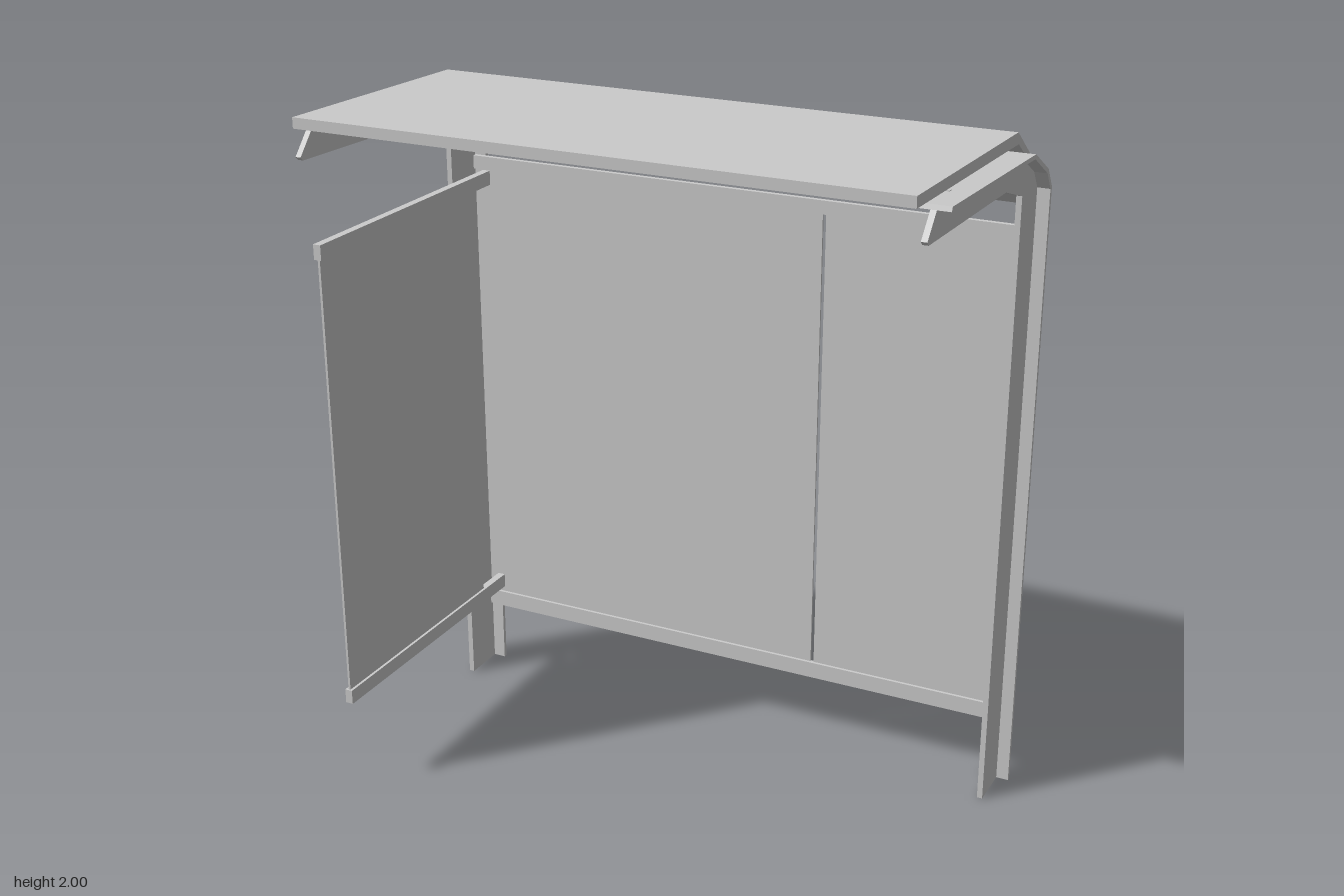
import * as THREE from 'three';

const material = new THREE.MeshStandardMaterial({ color: 0xcccccc, side: THREE.DoubleSide });

export function createModel() {
  const model = new THREE.Group();
  model.name = 'shelter';

  const add = (name, geometry) => {
    const mesh = new THREE.Mesh(geometry, material);
    mesh.name = name;
    model.add(mesh);
    return mesh;
  };

  // Box given by its limits on each axis
  const box = (name, [x0, x1], [y0, y1], [z0, z1]) =>
    add(name, new THREE.BoxGeometry(x1 - x0, y1 - y0, z1 - z0)
      .translate((x0 + x1) / 2, (y0 + y1) / 2, (z0 + z1) / 2));

  // Side profile of [z, y] points extruded along x around a centre
  const profile = (name, points, width, x = 0) => {
    const shape = new THREE.Shape(points.map(([z, y]) => new THREE.Vector2(z, y)));
    const geometry = new THREE.ExtrudeGeometry(shape, { depth: width, bevelEnabled: false });
    geometry.translate(0, 0, -width / 2).rotateY(-Math.PI / 2).translate(x, 0, 0);
    return add(name, geometry);
  };

  // T-section posts that bend forward into roof arms
  const outer = [[-0.356, 0], [-0.356, 1.81], [-0.314, 1.867], [-0.19, 1.934], [0.45, 1.958]];
  const inner = [[-0.344, 0], [-0.344, 1.806], [-0.306, 1.857], [-0.186, 1.922], [0.455, 1.946]];
  const webFront = [[0.51, 1.884], [0.5, 1.874], [-0.07, 1.859], [-0.213, 1.814], [-0.213, 0]];
  for (const [label, s] of [['left', 1], ['right', -1]]) {
    profile(label + 'PostFlange', [...outer, ...[...inner].reverse()], 0.09, s * 0.869);
    profile(label + 'PostWeb', [...inner, ...webFront], 0.016, s * 0.87);
  }

  // Folded roof sheet
  profile('roof', [
    [0.545, 2.0], [-0.2, 1.983], [-0.38, 1.857], [-0.545, 1.725],
    [-0.545, 1.7], [-0.38, 1.83], [-0.21, 1.95], [0.545, 1.97],
  ], 1.714, 0.004);

  // Roof purlins
  box('frontPurlin', [-0.858, 0.858], [1.905, 1.955], [0.3, 0.312]);
  profile('rearPurlin', [[-0.37, 1.775], [-0.362, 1.784], [-0.402, 1.82], [-0.41, 1.812]], 1.65);

  // Back wall: two thin panes between a lower and an upper rail
  box('wideBackPane', [-0.858, 0.274], [0.21, 1.69], [-0.343, -0.337]);
  box('narrowBackPane', [0.284, 0.858], [0.21, 1.69], [-0.343, -0.337]);
  box('lowerBackRail', [-0.858, 0.858], [0.2, 0.25], [-0.343, -0.328]);
  box('upperBackRail', [-0.858, 0.858], [1.66, 1.7], [-0.343, -0.328]);

  // Side screen on one end only, its rails running back to the wall
  box('sidePane', [-0.823, -0.816], [0.28, 1.645], [-0.22, 0.52]);
  for (const [label, y] of [['lower', 0.267], ['upper', 1.613]]) {
    box(label + 'SideRail', [-0.831, -0.808], [y, y + 0.043], [-0.34, 0.525]);
  }

  return model;
}
